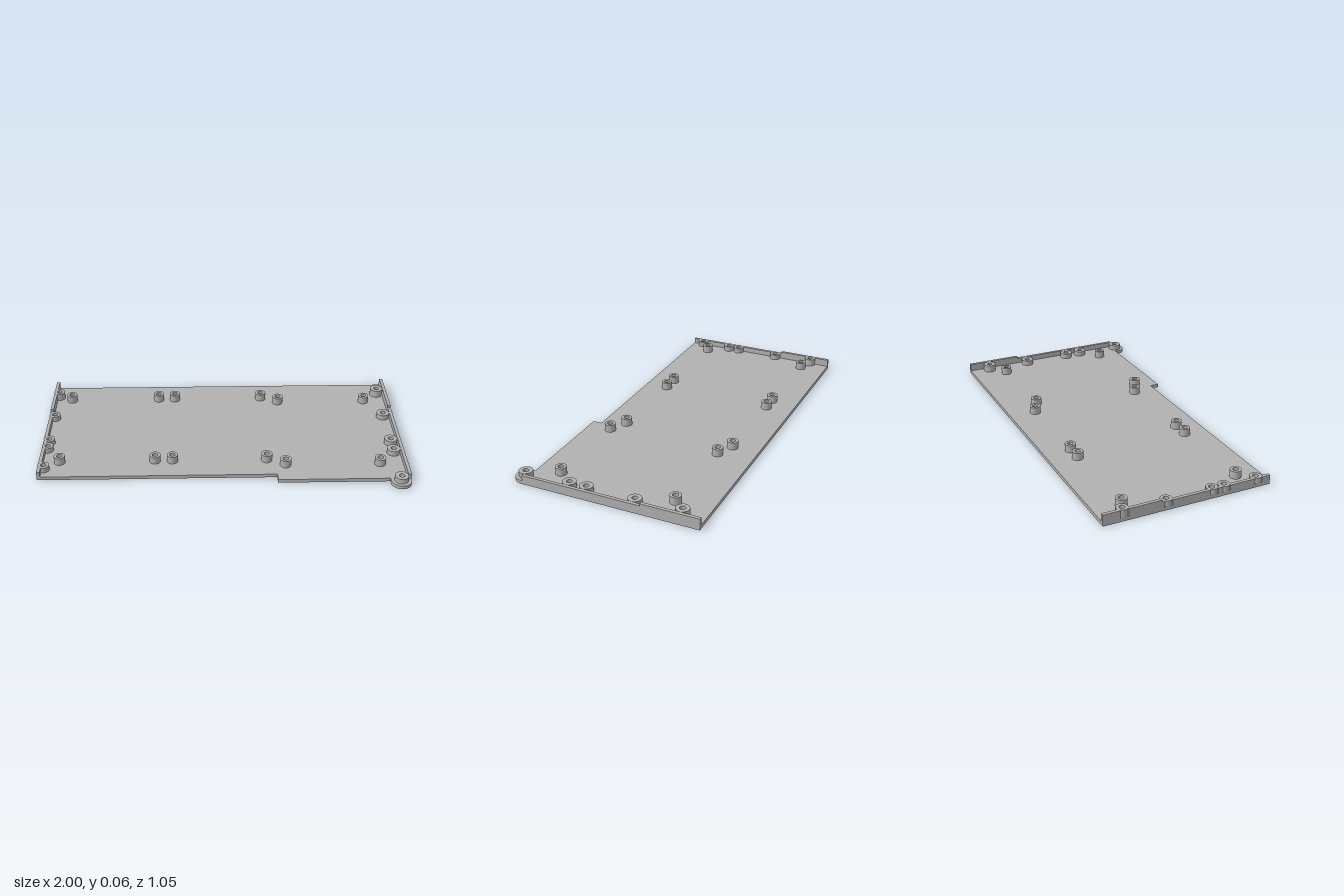
import * as THREE from 'three';

const PLATE_H = 0.02, LOW = 0.05, HIGH = 0.062, HOLE_R = 0.015;
const LEFT_X = 0.945, RIGHT_X = -0.969;

// [x, z] of the free-standing posts
const POSTS = [
  ...[-0.89, -0.37, -0.275, 0.24].flatMap(x => [[x, -0.375], [x, 0.265]]),
  ...[0.34, 0.855].flatMap(x => [[x, -0.33], [x, 0.315]]),
];
// z of the bosses along each side wall
const LEFT_Z = [-0.41, -0.155, 0.115, 0.212];
const RIGHT_Z = [-0.41, -0.175, 0.078, 0.147, 0.332];
const TAB = [LEFT_X, 0.467];

export function createModel() {
  const group = new THREE.Group();
  const grey = new THREE.MeshStandardMaterial({ color: 0xb0b0b0 });
  grey.name = 'plain grey';

  const add = (geometry, name) => {
    const mesh = new THREE.Mesh(geometry, grey);
    mesh.name = name;
    group.add(mesh);
  };

  // Extrude a plan drawn in (x, z) from height y0 to y1
  const slab = (shape, y0, y1, name) => {
    const g = new THREE.ExtrudeGeometry(shape, { depth: y1 - y0, bevelEnabled: false, curveSegments: 32 });
    g.rotateX(Math.PI / 2).translate(0, y1, 0);
    add(g, name);
  };

  const hole = ([x, z]) => new THREE.Path().absarc(x, z, HOLE_R, 0, Math.PI * 2, true);

  const ring = (at, r, y0, y1, name) => {
    const s = new THREE.Shape().absarc(at[0], at[1], r, 0, Math.PI * 2, false);
    s.holes.push(hole(at));
    slab(s, y0, y1, name);
  };

  const wall = (x0, x1, z0, z1, h, name) => {
    const g = new THREE.BoxGeometry(x1 - x0, h - PLATE_H, z1 - z0);
    g.translate((x0 + x1) / 2, (h + PLATE_H) / 2, (z0 + z1) / 2);
    add(g, name);
  };

  // Base plate with stepped front edge, rounded corner tab and through holes
  const plate = new THREE.Shape();
  plate.moveTo(-0.998, -0.523);
  plate.lineTo(1, -0.523);
  plate.lineTo(1, TAB[1]);
  plate.absarc(TAB[0], TAB[1], 0.055, 0, Math.PI, false);
  plate.lineTo(0.89, 0.45);
  plate.lineTo(0.29, 0.45);
  plate.lineTo(0.29, 0.4);
  plate.lineTo(-0.998, 0.4);
  plate.closePath();
  const sideHoles = [...LEFT_Z.map(z => [LEFT_X, z]), ...RIGHT_Z.map(z => [RIGHT_X, z])];
  plate.holes = [...POSTS, ...sideHoles, TAB].map(hole);
  slab(plate, 0, PLATE_H, 'basePlate');

  // Mounting posts
  POSTS.forEach(p => ring(p, 0.03, PLATE_H, HIGH, 'mountingPost'));

  // Side bosses; the rearmost pair matches the raised wall
  const bossTop = z => (z < -0.21 ? HIGH : LOW);
  LEFT_Z.forEach(z => ring([LEFT_X, z], 0.036, PLATE_H, bossTop(z), 'leftBoss'));
  RIGHT_Z.forEach(z => ring([RIGHT_X, z], 0.031, PLATE_H, bossTop(z), 'rightBoss'));
  ring(TAB, 0.037, PLATE_H, LOW, 'cornerTabBoss');

  // Left wall, raised at the rear
  wall(0.982, 1, -0.523, -0.21, HIGH, 'leftWallRear');
  wall(0.982, 1, -0.21, 0.457, LOW, 'leftWallFront');

  // Right wall, interrupted by its bosses so the screw holes stay open
  const stops = [-0.523, ...RIGHT_Z.flatMap(z => [z - 0.022, z + 0.022]), 0.4];
  for (let i = 0; i < stops.length; i += 2) {
    const z0 = stops[i], z1 = stops[i + 1];
    if (z0 < -0.21) wall(-0.998, -0.98, z0, Math.min(z1, -0.21), HIGH, 'rightWallRear');
    if (z1 > -0.21) wall(-0.998, -0.98, Math.max(z0, -0.21), z1, LOW, 'rightWallFront');
  }

  return group;
}
